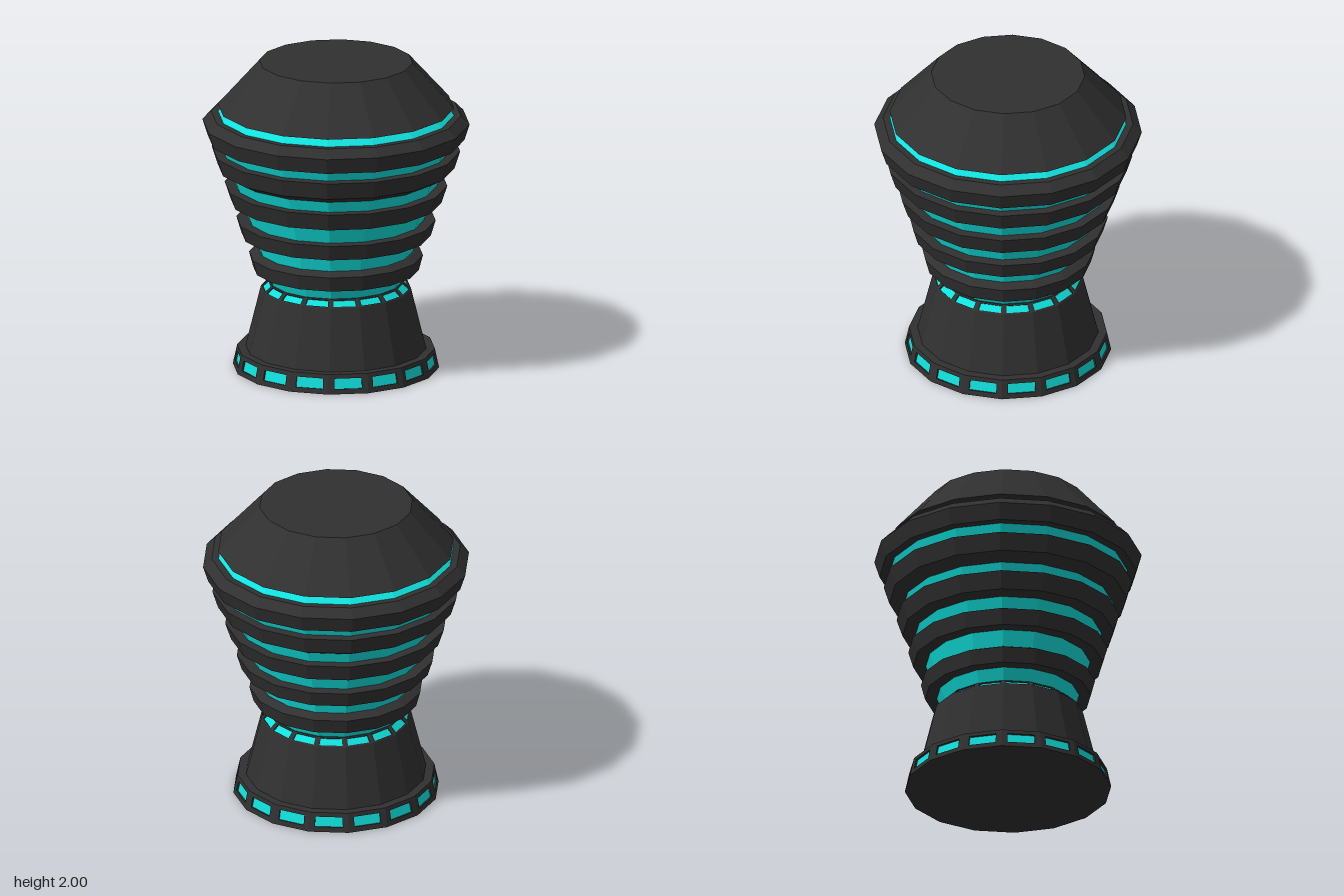
import * as THREE from 'three';

const SIDES = 16;
const dark = new THREE.MeshStandardMaterial({ color: 0x303030 });
dark.name = 'charcoal';
const teal = new THREE.MeshStandardMaterial({ color: 0x10e0dc });
teal.name = 'glowing teal';

// Faceted surface of revolution; profile is [radius, y] running up the outside
function turned(name, profile, material) {
  const points = profile.map(([r, y]) => new THREE.Vector2(r, y));
  const geometry = new THREE.LatheGeometry(points, SIDES).toNonIndexed();
  geometry.computeVertexNormals();
  const mesh = new THREE.Mesh(geometry, material);
  mesh.name = name;
  return mesh;
}

function quadMesh(name, quads, material) {
  const positions = [];
  for (const [a, b, c, d] of quads) {
    for (const p of [a, b, c, a, c, d]) positions.push(p.x, p.y, p.z);
  }
  const geometry = new THREE.BufferGeometry();
  geometry.setAttribute('position', new THREE.Float32BufferAttribute(positions, 3));
  geometry.computeVertexNormals();
  const mesh = new THREE.Mesh(geometry, material);
  mesh.name = name;
  return mesh;
}

// Sloping band with one recessed window in every facet
function windowBand(name, [r0, y0], [r1, y1], { u, v0, v1, depth }) {
  const frames = [], panes = [];
  const rim = (i, r, y) => {
    const a = (i / SIDES) * Math.PI * 2;
    return new THREE.Vector3(Math.sin(a) * r, y, Math.cos(a) * r);
  };
  for (let i = 0; i < SIDES; i++) {
    const outer = [rim(i, r0, y0), rim(i + 1, r0, y0), rim(i + 1, r1, y1), rim(i, r1, y1)];
    const at = (s, t) => outer[0].clone().lerp(outer[1], s)
      .lerp(outer[3].clone().lerp(outer[2], s), t);
    const hole = [at(u, v0), at(1 - u, v0), at(1 - u, v1), at(u, v1)];
    const inward = outer[1].clone().sub(outer[0])
      .cross(outer[3].clone().sub(outer[0])).normalize().multiplyScalar(-depth);
    const pane = hole.map((p) => p.clone().add(inward));
    for (let k = 0; k < 4; k++) {
      const n = (k + 1) % 4;
      frames.push([outer[k], outer[n], hole[n], hole[k]]);
      frames.push([hole[k], hole[n], pane[n], pane[k]]);
    }
    panes.push(pane);
  }
  const group = new THREE.Group();
  group.name = name;
  group.add(quadMesh(name + 'Frame', frames, dark), quadMesh(name + 'Windows', panes, teal));
  return group;
}

export function createModel() {
  const model = new THREE.Group();
  model.name = 'ringedPedestal';

  // Base: underside, windowed rim and top ledge
  model.add(turned('baseUnderside', [[0, 0], [0.652, 0]], dark));
  model.add(windowBand('baseRim', [0.652, 0], [0.625, 0.124],
    { u: 0.15, v0: 0.26, v1: 0.78, depth: 0.012 }));
  model.add(turned('baseLedge', [[0.625, 0.124], [0.55, 0.124]], dark));

  // Tapered foot with a windowed shoulder
  model.add(turned('foot', [[0.572, 0.12], [0.475, 0.515]], dark));
  model.add(windowBand('shoulder', [0.475, 0.515], [0.425, 0.56],
    { u: 0.1, v0: 0.14, v1: 0.86, depth: 0.008 }));
  model.add(turned('shoulderLip', [[0.425, 0.56], [0.38, 0.56]], dark));

  // Teal core flaring upward
  model.add(turned('core', [[0.405, 0.53], [0.45, 0.64], [0.52, 0.87], [0.593, 1.07],
    [0.667, 1.27], [0.755, 1.5], [0.78, 1.6], [0.745, 1.66], [0.695, 1.7]], teal));

  // Dark rings around the core, lowest first
  const rings = [
    [[0.42, 0.64], [0.524, 0.64], [0.55, 0.737], [0.5, 0.762], [0.45, 0.762]],
    [[0.49, 0.868], [0.6, 0.868], [0.63, 0.968], [0.52, 0.968]],
    [[0.57, 1.066], [0.595, 1.066], [0.667, 1.085], [0.704, 1.196], [0.6, 1.196]],
    [[0.64, 1.27], [0.668, 1.27], [0.75, 1.314], [0.785, 1.425], [0.7, 1.43]],
    [[0.73, 1.5], [0.812, 1.5], [0.845, 1.603], [0.79, 1.658], [0.72, 1.658]],
  ];
  rings.forEach((profile, i) => model.add(turned('ring' + (i + 1), profile, dark)));

  // Sloping cap with a flat top
  model.add(turned('cap', [[0.6, 1.692], [0.7, 1.692], [0.748, 1.706], [0.485, 2], [0, 2]], dark));

  return model;
}
